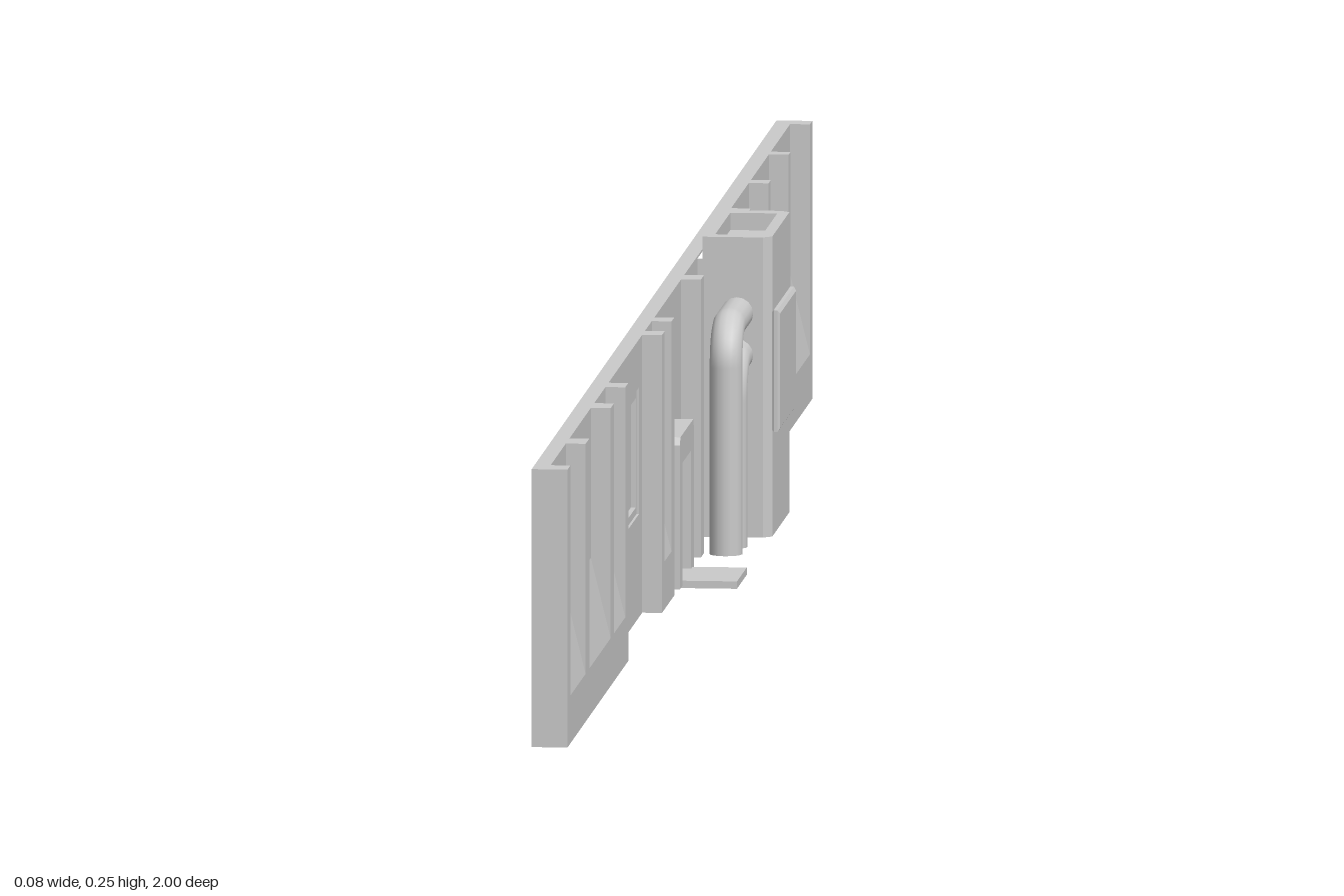
import * as THREE from 'three';

const mat = new THREE.MeshStandardMaterial({ color: 0xcccccc, flatShading: true, side: THREE.DoubleSide });
const smooth = new THREE.MeshStandardMaterial({ color: 0xcccccc, side: THREE.DoubleSide });

// Depth (x) of the wall skin at each height, for every kind of section
const BACK = -0.04, PANEL = -0.027, RIB = -0.011;
const heights = [0.232, 0.232, 0.11, 0.045, 0.006];
const profiles = {
  end: [BACK, BACK, BACK, BACK, BACK],
  flat: [BACK, PANEL, PANEL, PANEL, PANEL],
  flared: [BACK, PANEL, PANEL, RIB, RIB],
  rib: [BACK, RIB, RIB, RIB, RIB],
};

function add(parent, name, geometry, material = mat) {
  const mesh = new THREE.Mesh(geometry, material);
  mesh.name = name;
  parent.add(mesh);
  return mesh;
}

function box(parent, name, x0, x1, y0, y1, z0, z1) {
  const mesh = add(parent, name, new THREE.BoxGeometry(x1 - x0, y1 - y0, z1 - z0));
  mesh.position.set((x0 + x1) / 2, (y0 + y1) / 2, (z0 + z1) / 2);
  return mesh;
}

// Folded sheet through stations [z, profile]; two stations at one z make a step
function sheet(parent, name, stations) {
  const pos = [], idx = [], n = heights.length;
  stations.forEach(([z, kind], s) => {
    heights.forEach((y, r) => pos.push(profiles[kind][r], y, z));
    if (s === 0) return;
    for (let r = 0; r < n - 1; r++) {
      const a = (s - 1) * n + r, b = s * n + r;
      idx.push(a, b, a + 1, b, b + 1, a + 1);
    }
  });
  const g = new THREE.BufferGeometry();
  g.setAttribute('position', new THREE.Float32BufferAttribute(pos, 3));
  g.setIndex(idx);
  const flat = g.toNonIndexed();
  flat.computeVertexNormals();
  return add(parent, name, flat);
}

// Alternating sections [kind, endZ] from a starting z
function stationsFrom(z, sections) {
  return sections.flatMap(([kind, end]) => {
    const pair = [[z, kind], [end, kind]];
    z = end;
    return pair;
  });
}

const rect = (Type, a0, a1, b0, b1) => new Type().moveTo(a0, b0).lineTo(a1, b0).lineTo(a1, b1).lineTo(a0, b1).closePath();
const polygon = (pts) => new THREE.Shape(pts.map(([a, b]) => new THREE.Vector2(a, b)));

// Shape drawn in (z, y), thickened between x0 and x1
function plateX(parent, name, shape, x0, x1) {
  const g = new THREE.ExtrudeGeometry(shape, { depth: x1 - x0, bevelEnabled: false });
  const mesh = add(parent, name, g.rotateY(-Math.PI / 2));
  mesh.position.x = x1;
  return mesh;
}

// Shape drawn in (x, z), thickened between y0 and y1
function plateY(parent, name, shape, y0, y1) {
  const g = new THREE.ExtrudeGeometry(shape, { depth: y1 - y0, bevelEnabled: false });
  const mesh = add(parent, name, g.rotateX(Math.PI / 2));
  mesh.position.y = y1;
  return mesh;
}

// Upright pipe that bends back into the cabinet
function pipe(parent, z, y) {
  const x = 0.005, r = 0.0132, bend = 0.03, v = (b, c) => new THREE.Vector3(x, b, c);
  const path = new THREE.CurvePath();
  path.add(new THREE.LineCurve3(v(0.003, z), v(y - bend, z)));
  path.add(new THREE.CubicBezierCurve3(v(y - bend, z), v(y - bend * 0.45, z), v(y, z - bend * 0.45), v(y, z - bend)));
  path.add(new THREE.LineCurve3(v(y, z - bend), v(y, -0.224)));
  add(parent, 'pipe', new THREE.TubeGeometry(path, 60, r, 16, false), smooth);
  const cap = add(parent, 'pipeEnd', new THREE.CircleGeometry(r, 16).rotateX(Math.PI / 2));
  cap.position.set(x, 0.003, z);
}

export function createModel() {
  const model = new THREE.Group();
  model.name = 'wallSection';

  // Wall skin, hollow behind, with ribs and flared panels
  const wall = new THREE.Group();
  wall.name = 'wall';
  model.add(wall);
  sheet(wall, 'rearWall', [[-1, 'end'], ...stationsFrom(-1, [
    ['rib', -0.98], ['flared', -0.822], ['rib', -0.806], ['flared', -0.66], ['rib', -0.642],
    ['flared', -0.498], ['rib', -0.482], ['flared', -0.372],
  ])]);
  sheet(wall, 'pipeWall', stationsFrom(-0.222, [['flat', -0.115], ['rib', -0.09], ['flat', -0.02]]));
  sheet(wall, 'middleWall', stationsFrom(0.05, [
    ['flat', 0.128], ['rib', 0.15], ['flared', 0.206], ['rib', 0.228], ['flat', 0.232],
  ]));
  sheet(wall, 'frontWall', [...stationsFrom(0.498, [
    ['flat', 0.503], ['rib', 0.528], ['flared', 0.62], ['rib', 0.647], ['flared', 0.822],
    ['rib', 0.852], ['flared', 0.976], ['rib', 1],
  ]), [1, 'end']]);

  // Top strip bridging the gaps in the skin
  box(wall, 'topStrip', BACK, PANEL, 0.23, 0.232, -0.372, -0.222);
  box(wall, 'topStrip', BACK, PANEL, 0.23, 0.232, -0.02, 0.05);
  box(wall, 'topStrip', BACK, PANEL, 0.23, 0.232, 0.232, 0.498);

  // Flat panel with a recessed, bordered window
  const windowPanel = rect(THREE.Shape, 0.232, 0.498, 0.006, 0.232);
  windowPanel.holes.push(rect(THREE.Path, 0.255, 0.485, 0.09, 0.193));
  plateX(wall, 'windowPanel', windowPanel, -0.029, PANEL);
  const border = rect(THREE.Shape, 0.255, 0.485, 0.09, 0.193);
  border.holes.push(rect(THREE.Path, 0.26, 0.48, 0.096, 0.185));
  plateX(wall, 'windowBorder', border, -0.033, -0.029);
  box(wall, 'windowPane', -0.034, -0.033, 0.09, 0.193, 0.255, 0.485);

  // Doorway: lintel panel, deep frame, recessed door and step
  const door = new THREE.Group();
  door.name = 'doorway';
  model.add(door);
  box(door, 'lintel', -0.028, PANEL, 0.12, 0.232, -0.02, 0.05);
  plateX(door, 'doorFrame', polygon([
    [-0.042, 0.003], [-0.02, 0.003], [-0.02, 0.103], [0.05, 0.103], [0.05, 0.003],
    [0.072, 0.003], [0.072, 0.12], [0.067, 0.126], [-0.037, 0.126], [-0.042, 0.12],
  ]), -0.033, -0.012);
  box(door, 'doorPanel', -0.035, -0.033, 0.003, 0.105, -0.022, 0.052);
  box(door, 'step', -0.034, 0.032, 0.001, 0.007, -0.03, 0.05);

  // Cabinet: open-backed walls, rim with sunken tray, raised front cover
  const cabinet = new THREE.Group();
  cabinet.name = 'cabinet';
  model.add(cabinet);
  const zn = -0.375, zp = -0.222, xf = 0.033, xb = -0.023, c = 0.007, t = 0.002;
  plateY(cabinet, 'cabinetWalls', polygon([
    [PANEL, zn], [xf - c, zn], [xf, zn + c], [xf, zp - c], [xf - c, zp], [PANEL, zp],
    [PANEL, zp - t], [xf - c - t, zp - t], [xf - t, zp - c - t], [xf - t, zn + c + t],
    [xf - c - t, zn + t], [PANEL, zn + t],
  ]), 0.004, 0.23);
  const rim = polygon([[xb, zn], [xf - c, zn], [xf, zn + c], [xf, zp - c], [xf - c, zp], [xb, zp]]);
  rim.holes.push(rect(THREE.Path, xb + 0.009, xf - 0.009, zn + 0.015, zp - 0.015));
  plateY(cabinet, 'cabinetRim', rim, 0.23, 0.248);
  box(cabinet, 'trayFloor', xb, xf - 0.008, 0.23, 0.234, zn + 0.01, zp - 0.01);
  const cover = plateX(cabinet, 'frontCover', rect(THREE.Shape, -0.364, -0.23, 0.09, 0.187), xf, 0.037);
  cover.geometry = new THREE.ExtrudeGeometry(rect(THREE.Shape, -0.362, -0.232, 0.092, 0.185),
    { depth: 0.003, bevelThickness: 0.002, bevelSize: 0.003, bevelSegments: 1 }).rotateY(-Math.PI / 2);

  // Two nested pipes
  const pipes = new THREE.Group();
  pipes.name = 'pipes';
  model.add(pipes);
  pipe(pipes, -0.133, 0.186);
  pipe(pipes, -0.174, 0.152);

  return model;
}
